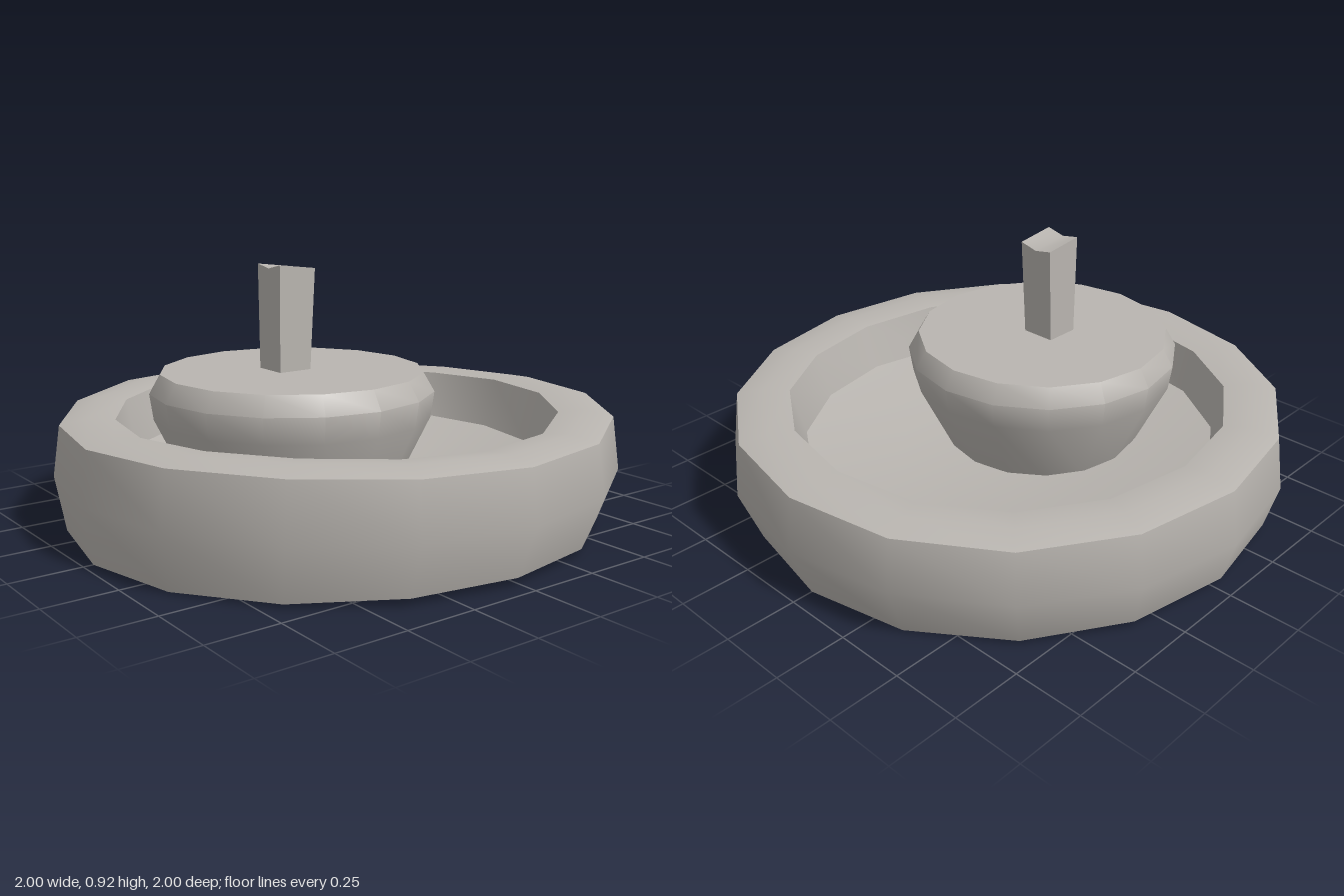
import * as THREE from 'three';
import { toCreasedNormals } from 'three/addons/utils/BufferGeometryUtils.js';

const SIDES = 16;

// Moves every vertex by a rule
function warp(geometry, rule) {
  const pos = geometry.attributes.position;
  const v = new THREE.Vector3();
  for (let i = 0; i < pos.count; i++) {
    v.fromBufferAttribute(pos, i);
    rule(v);
    pos.setXYZ(i, v.x, v.y, v.z);
  }
  return geometry;
}

function turned(profile, rule = () => {}) {
  const points = profile.map(([r, y]) => new THREE.Vector2(r, y));
  return toCreasedNormals(warp(new THREE.LatheGeometry(points, SIDES), rule), 0.7);
}

export function createModel() {
  const group = new THREE.Group();
  const stone = new THREE.MeshStandardMaterial({ color: 0xb9b5b0 });
  stone.name = 'warm grey stone';

  const add = (name, geometry) => {
    const mesh = new THREE.Mesh(geometry, stone);
    mesh.name = name;
    group.add(mesh);
    return mesh;
  };

  // Shallow bowl: underside, bulging wall, broad rim and dished floor
  add('bowl', turned([
    [0, 0.01], [0.945, 0.01], [1, 0.2], [0.975, 0.385],
    [0.88, 0.405], [0.785, 0.395], [0.745, 0.22], [0.4, 0.155], [0, 0.14],
  ], (v) => {
    const r = Math.hypot(v.x, v.z);
    if (v.y < 0.05) {
      // Hand-carved lower edge, slightly raised at the sides
      if (r > 0.5) v.y += 0.022 * v.x * v.x - 0.01 * v.z * v.z;
      v.z += 0.02;
    } else if (v.y > 0.38) {
      v.y -= 0.008 * Math.cos(3 * Math.atan2(v.z, v.x) + 0.6);
    } else if (v.y < 0.3 && r > 0.6 && r < 0.8) {
      v.z += 0.01;
    }
  }));

  // Upper grinding stone, tapering to the bowl floor
  const runner = add('grindingStone', turned([
    [0, 0.13], [0.35, 0.13], [0.48, 0.4], [0.493, 0.49], [0.455, 0.555], [0, 0.555],
  ]));
  runner.position.set(0.018, 0, 0.205);

  // Square peg with an uneven notched top
  const peg = new THREE.BoxGeometry(0.124, 0.37, 0.124, 2, 1, 1);
  warp(peg, (v) => {
    if (v.y > 0) {
      v.x *= 1.08;
      v.z *= 1.16;
      v.y += v.z * 0.12 + v.x * 0.03 - (Math.abs(v.x) < 0.01 ? 0.014 : 0);
    } else {
      v.z += 0.008;
    }
  });
  const handle = add('handlePeg', toCreasedNormals(peg, 0.5));
  handle.position.set(-0.002, 0.725, 0.212);

  return group;
}
